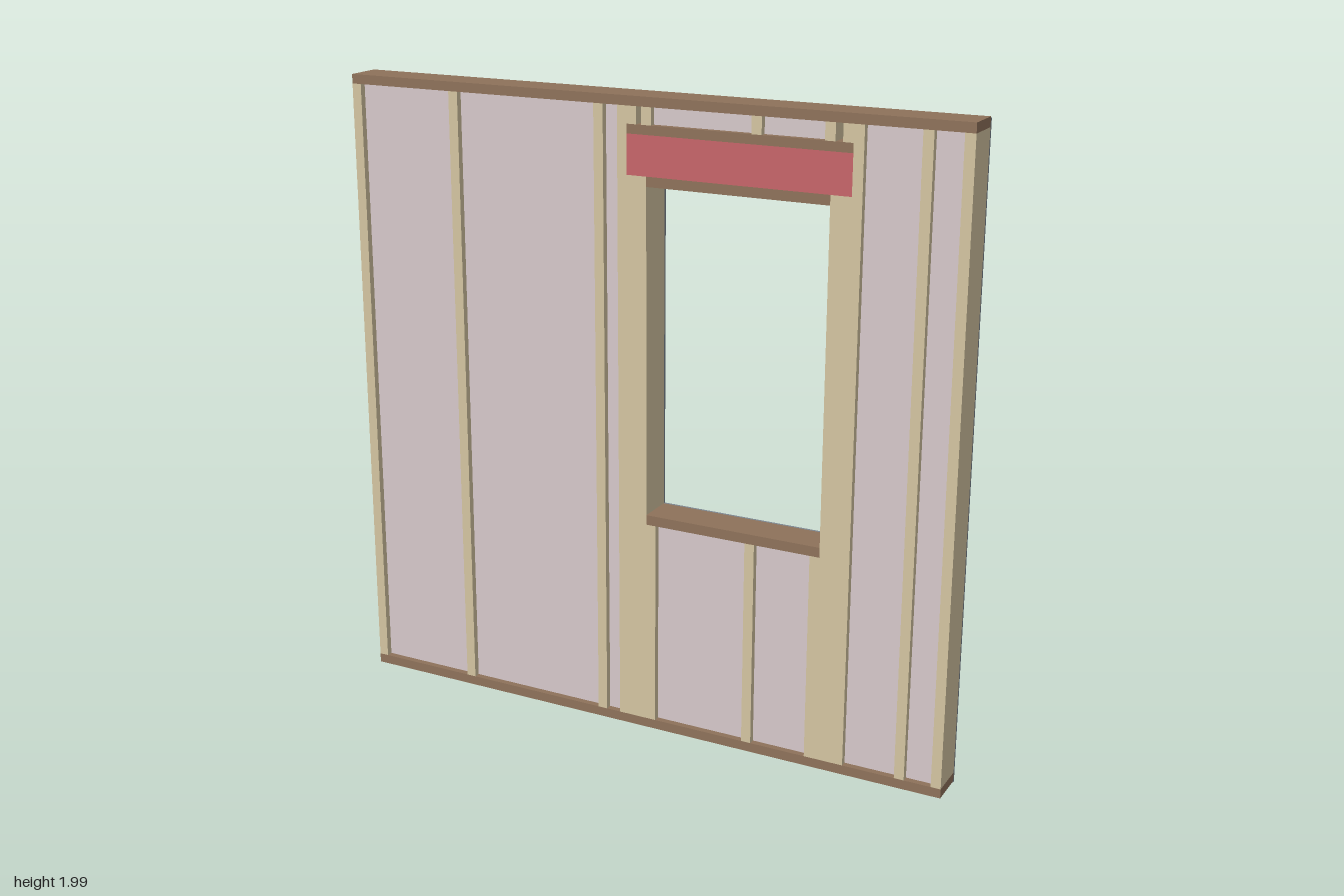
import * as THREE from 'three';

const FRONT = 0.062, BACK = -0.062, SHEET = 0.008;
const FRAME_BACK = BACK + SHEET;
const RECESS = 0.02;
const W = 0.031; // lumber thickness

// Main levels
const BASE = 0.004, PLATE_TOP = 0.034, TOP_UNDER = 1.963, TOP = 1.992;
const SILL_LOW = 0.69, SILL_TOP = 0.721, HEAD_LOW = 1.733, HEADER_LOW = 1.763;
const HEADER_TOP = 1.883, CAP_TOP = 1.911;
// Window opening and header span
const WIN_L = 0.024, WIN_R = 0.595, HEADER_L = -0.04, HEADER_R = 0.658;

const material = (color) => new THREE.MeshStandardMaterial({ color, roughness: 0.9 });

export function createModel() {
  const wall = new THREE.Group();
  wall.name = 'framedWall';
  const stud = material(0xd5c6a2);
  const plate = material(0x8f735b);
  const header = material(0xc8666a);
  const insulation = material(0xd8cacc);
  const sheathing = material(0x7d8791);

  // Box given by its x and y limits, filling the frame depth
  const slab = (name, mat, x0, x1, y0, y1, front = FRONT) => {
    const mesh = new THREE.Mesh(new THREE.BoxGeometry(x1 - x0, y1 - y0, front - FRAME_BACK), mat);
    mesh.position.set((x0 + x1) / 2, (y0 + y1) / 2, (front + FRAME_BACK) / 2);
    mesh.name = name;
    wall.add(mesh);
  };

  // Horizontal members
  slab('bottomPlate', plate, -1, 1, BASE, PLATE_TOP);
  slab('topPlate', plate, -1, 1, TOP_UNDER, TOP);
  slab('windowSill', plate, WIN_L, WIN_R, SILL_LOW, SILL_TOP);
  slab('windowHead', plate, WIN_L, WIN_R, HEAD_LOW, HEADER_LOW);
  slab('header', header, HEADER_L, HEADER_R, HEADER_LOW, HEADER_TOP);
  slab('headerCap', plate, HEADER_L, HEADER_R, HEADER_TOP, CAP_TOP);

  // Full-height studs, including the king studs beside the window
  for (const x of [-1, -0.648, -0.149, HEADER_L - W, HEADER_R, 0.854, 1 - W])
    slab('stud', stud, x, x + W, PLATE_TOP, TOP_UNDER);

  // Doubled jack studs carrying the header
  for (const [a, b] of [[HEADER_L, WIN_L], [WIN_R, HEADER_R]]) {
    const mid = (a + b) / 2;
    slab('jackStud', stud, a, mid, PLATE_TOP, HEADER_LOW);
    slab('jackStud', stud, mid, b, PLATE_TOP, HEADER_LOW);
  }

  // Cripple studs below the sill and above the header
  for (const x of [WIN_L, 0.354, WIN_R - W])
    slab('lowerCripple', stud, x, x + W, PLATE_TOP, SILL_LOW);
  for (const x of [HEADER_L, 0.008, 0.354, 0.574, HEADER_R - W])
    slab('upperCripple', stud, x, x + W, CAP_TOP, TOP_UNDER);

  // Insulation filling the bays, set back from the stud faces
  const bays = [[-1 + W, -0.648], [-0.648 + W, -0.149], [-0.149 + W, HEADER_L - W],
    [HEADER_R + W, 0.854], [0.854 + W, 1 - W]];
  for (const [a, b] of bays)
    slab('insulation', insulation, a, b, PLATE_TOP, TOP_UNDER, FRONT - RECESS);
  for (const [a, b] of [[WIN_L + W, 0.354], [0.354 + W, WIN_R - W]])
    slab('insulation', insulation, a, b, PLATE_TOP, SILL_LOW, FRONT - RECESS);
  for (const [a, b] of [[0.008 + W, 0.354], [0.354 + W, 0.574]])
    slab('insulation', insulation, a, b, CAP_TOP, TOP_UNDER, FRONT - RECESS);

  // Back sheathing: a notched sheet around the window and a narrow plain sheet
  const sheet = (name, points) => {
    const shape = new THREE.Shape(points.map(([x, y]) => new THREE.Vector2(x, y)));
    const mesh = new THREE.Mesh(
      new THREE.ExtrudeGeometry(shape, { depth: SHEET, bevelEnabled: false }), sheathing);
    mesh.position.z = BACK;
    mesh.name = name;
    wall.add(mesh);
  };
  const top = TOP - 0.004, seam = 0.001;
  sheet('notchedSheathing', [[-1, 0], [WIN_R - seam, 0], [WIN_R - seam, SILL_TOP], [WIN_L, SILL_TOP],
    [WIN_L, HEAD_LOW], [WIN_R - seam, HEAD_LOW], [WIN_R - seam, top], [-1, top]]);
  sheet('narrowSheathing', [[WIN_R + seam, 0], [1, 0], [1, top], [WIN_R + seam, top]]);

  return wall;
}
